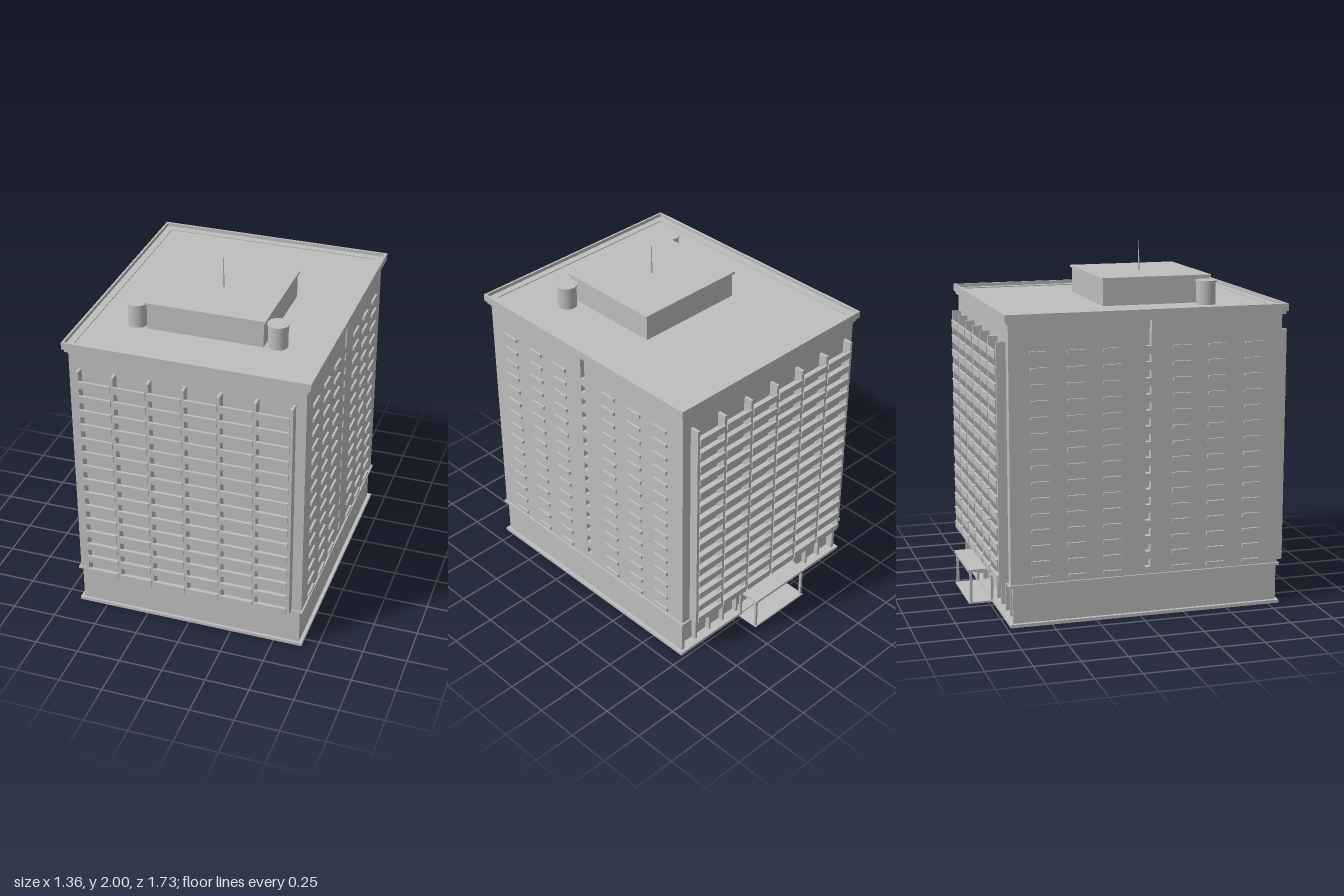
import * as THREE from 'three';

const grey = new THREE.MeshStandardMaterial({ color: 0xbebebe });
grey.name = 'concrete grey';

// box given by its minimum and maximum on each axis
function block(parent, name, x0, x1, y0, y1, z0, z1) {
  const mesh = new THREE.Mesh(new THREE.BoxGeometry(x1 - x0, y1 - y0, z1 - z0), grey);
  mesh.position.set((x0 + x1) / 2, (y0 + y1) / 2, (z0 + z1) / 2);
  mesh.name = name;
  parent.add(mesh);
  return mesh;
}

function cylinder(parent, name, r0, r1, y0, y1, x, z, sides) {
  const mesh = new THREE.Mesh(new THREE.CylinderGeometry(r1, r0, y1 - y0, sides), grey);
  mesh.position.set(x, (y0 + y1) / 2, z);
  mesh.name = name;
  parent.add(mesh);
}

function group(parent, name) {
  const g = new THREE.Group();
  g.name = name;
  parent.add(g);
  return g;
}

// rectangular frame lying flat, w wide, around the rectangle ±x, z0..z1
function ring(parent, name, x, z0, z1, w, y0, y1) {
  const g = group(parent, name);
  for (const s of [-1, 1]) {
    const a = s * x, b = s * (x - w);
    block(g, name + 'Side', Math.min(a, b), Math.max(a, b), y0, y1, z0, z1);
  }
  block(g, name + 'Back', -x + w, x - w, y0, y1, z0, z0 + w);
  block(g, name + 'Front', -x + w, x - w, y0, y1, z1 - w, z1);
}

const FLOORS = 15, STEP = 0.0875, TOP = 1.5;
const BACK = -0.725, FRONT = 0.803;

// fins and balconies, built facing +z from the wall plane z = 0
function balconyFacade(parent, name) {
  const g = group(parent, name);
  for (let i = -3; i <= 3; i++) {
    const x = i * 0.197;
    block(g, 'fin', x - 0.008, x + 0.008, 0.235, 1.55, -0.005, 0.052);
  }
  for (let f = 0; f < FLOORS; f++) {
    const y = TOP - f * STEP;
    for (let b = 0; b < 6; b++) {
      const x = (b - 2.5) * 0.197;
      block(g, 'balconySlab', x - 0.0905, x + 0.0905, y - 0.044, y - 0.034, -0.005, 0.05);
      block(g, 'balconyParapet', x - 0.0895, x + 0.0895, y - 0.044, y, 0.05, 0.058);
      block(g, 'balconyRail', x - 0.0895, x + 0.0895, y - 0.005, y, 0.048, 0.062);
    }
  }
  return g;
}

// side wall with a vertical slot, spandrels and window ledges
function sideWall(parent, s) {
  const g = group(parent, s > 0 ? 'leftWall' : 'rightWall');
  const span = (name, x0, x1, y0, y1, z0, z1) =>
    block(g, name, Math.min(s * x0, s * x1), Math.max(s * x0, s * x1), y0, y1, z0, z1);
  span('wallFront', 0.62, 0.655, 0.235, 1.645, 0.058, FRONT);
  span('wallBack', 0.62, 0.655, 0.235, 1.645, BACK, 0.027);
  for (let f = 0; f < FLOORS; f++) {
    const y = TOP - f * STEP;
    span('slotSpandrel', 0.62, 0.655, y - 0.044, y, 0.027, 0.058);
    for (const z of [0.64, 0.43, 0.23, -0.16, -0.36, -0.56])
      span('windowLedge', 0.65, 0.667, y - 0.02, y, z - 0.05, z + 0.05);
  }
}

export function createModel() {
  const model = new THREE.Group();
  model.name = 'towerBlock';

  // ground floor, recessed behind posts at the back
  const base = group(model, 'groundFloor');
  block(base, 'plinth', -0.665, 0.665, 0, 0.018, -0.73, 0.815);
  block(base, 'baseWalls', -0.645, 0.645, 0.018, 0.222, -0.67, 0.8);
  block(base, 'baseLedge', -0.665, 0.665, 0.222, 0.236, -0.735, 0.813);
  for (const s of [-1, 1]) {
    block(base, 'sideReturn', s * 0.635 - 0.01, s * 0.635 + 0.01, 0.018, 0.222, -0.712, -0.67);
    for (const x of [0.52, 0.41, 0.3, 0.19])
      block(base, 'backPost', s * x - 0.007, s * x + 0.007, 0.018, 0.222, -0.7, -0.67);
  }
  block(base, 'backHeader', -0.63, 0.63, 0.2, 0.222, -0.69, -0.67);

  // entrance canopy
  const porch = group(model, 'entranceCanopy');
  block(porch, 'porchFloor', -0.2, 0.2, 0, 0.01, -0.863, -0.72);
  block(porch, 'canopyRoof', -0.203, 0.203, 0.186, 0.2, -0.865, -0.7);
  block(porch, 'canopyBeam', -0.195, 0.195, 0.172, 0.186, -0.855, -0.845);
  for (const x of [-0.19, 0.19])
    for (const z of [-0.85, -0.73])
      block(porch, 'canopyPost', x - 0.007, x + 0.007, 0.01, 0.186, z - 0.007, z + 0.007);

  // tower
  const tower = group(model, 'tower');
  block(tower, 'core', -0.62, 0.62, 0.235, 1.645, BACK, FRONT);
  sideWall(tower, 1);
  sideWall(tower, -1);
  balconyFacade(tower, 'frontFacade').position.z = FRONT;
  const rear = balconyFacade(tower, 'backFacade');
  rear.rotation.y = Math.PI;
  rear.position.z = BACK;

  // cornice, parapet and roof deck
  const roof = group(model, 'roof');
  block(roof, 'corniceLower', -0.67, 0.67, 1.642, 1.665, -0.738, 0.82);
  block(roof, 'roofDeck', -0.672, 0.672, 1.66, 1.675, -0.74, 0.822);
  ring(roof, 'parapet', 0.682, -0.748, 0.83, 0.012, 1.66, 1.7);
  ring(roof, 'parapetStep', 0.67, -0.736, 0.818, 0.04, 1.67, 1.68);

  // plant room, water tanks and mast
  block(roof, 'plantRoom', -0.326, 0.326, 1.67, 1.82, -0.115, 0.497);
  block(roof, 'plantRoomRoof', -0.337, 0.337, 1.818, 1.83, -0.124, 0.505);
  for (const s of [-1, 1]) {
    cylinder(roof, 'waterTank', 0.054, 0.054, 1.67, 1.8, s * 0.393, 0.455, 32);
    cylinder(roof, 'tankLid', 0.059, 0.059, 1.798, 1.808, s * 0.393, 0.455, 32);
  }
  cylinder(roof, 'mastBase', 0.005, 0.005, 1.83, 1.9, 0, 0.19, 10);
  cylinder(roof, 'mast', 0.003, 0.002, 1.9, 2.0, 0, 0.19, 8);
  return model;
}
